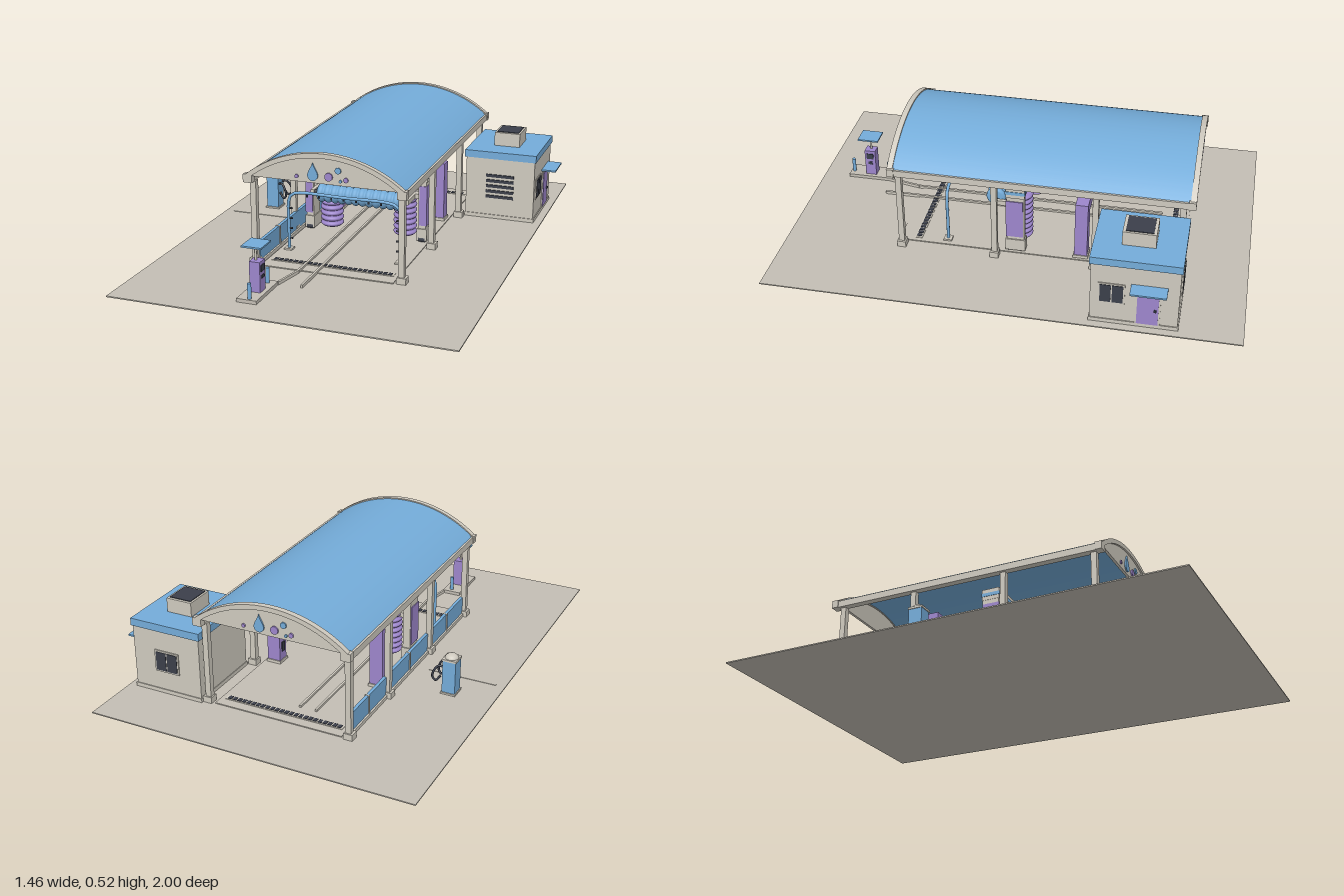
import * as THREE from 'three';
import { toCreasedNormals } from 'three/addons/utils/BufferGeometryUtils.js';

const mat = (name, color, side = THREE.FrontSide) => {
  const m = new THREE.MeshStandardMaterial({ color, side });
  m.name = name;
  return m;
};

export function createModel() {
  const root = new THREE.Group();
  root.name = 'carWash';
  const concrete = mat('concrete', 0xc3beb4), wall = mat('warmGrey', 0xcfcabf);
  const blue = mat('blue', 0x74acd9), purple = mat('purple', 0x9d86cc), dark = mat('charcoal', 0x3b3f4a);

  const add = (name, geo, m, x = 0, y = 0, z = 0, parent = root) => {
    const mesh = new THREE.Mesh(geo, m);
    mesh.name = name;
    mesh.position.set(x, y, z);
    parent.add(mesh);
    return mesh;
  };
  // Box given by its limits on each axis
  const box = (name, m, x0, x1, y0, y1, z0, z1, parent = root) =>
    add(name, new THREE.BoxGeometry(x1 - x0, y1 - y0, z1 - z0), m, (x0 + x1) / 2, (y0 + y1) / 2, (z0 + z1) / 2, parent);
  const cyl = (name, m, r, h, x, y, z, parent = root) =>
    add(name, new THREE.CylinderGeometry(r, r, h, 20), m, x, y, z, parent);
  const tube = (name, m, pts, r, parent = root) =>
    add(name, new THREE.TubeGeometry(new THREE.CatmullRomCurve3(pts.map(p => new THREE.Vector3(...p))), 40, r, 8), m, 0, 0, 0, parent);
  const extrude = (shape, depth) => toCreasedNormals(
    new THREE.ExtrudeGeometry(shape, { depth, bevelEnabled: false, curveSegments: 40 }), 0.5);

  // Ground slab and wash bay floor
  box('ground', concrete, -0.73, 0.7, 0, 0.005, -1, 1);
  box('washPad', concrete, -0.29, 0.29, 0.005, 0.009, -0.72, 0.51);
  for (const z of [0.43, -0.66]) {
    box('drainChannel', wall, -0.27, 0.27, 0.009, 0.011, z - 0.016, z + 0.016);
    for (let i = 0; i < 24; i++) box('drainSlot', dark, -0.262 + i * 0.022, -0.246 + i * 0.022, 0.011, 0.013, z - 0.011, z + 0.011);
  }
  // Wheel guide rails, one flared at the entrance
  box('guideRail', wall, -0.045, -0.035, 0.005, 0.018, -0.6, 0.67);
  box('guideRail', wall, -0.118, -0.108, 0.005, 0.018, -0.6, 0.53);
  box('flaredRail', wall, -0.133, -0.123, 0.005, 0.018, 0.53, 0.675).rotation.y = -0.2;

  // Barrel roof
  const cy = -0.013;
  const band = (rIn, rOut, a) => {
    const s = new THREE.Shape();
    s.absarc(0, cy, rOut, Math.PI / 2 - a, Math.PI / 2 + a, false);
    s.absarc(0, cy, rIn, Math.PI / 2 + a, Math.PI / 2 - a, true);
    return s;
  };
  const canopy = new THREE.Group();
  canopy.name = 'canopy';
  root.add(canopy);
  add('barrelRoof', extrude(band(0.522, 0.533, 0.695), 1.265), blue, 0, 0, -0.745, canopy);
  for (const s of [1, -1]) {
    // Gable with arch trim, drop and bubbles
    const gable = new THREE.Group();
    gable.name = s > 0 ? 'frontGable' : 'backGable';
    gable.position.z = s > 0 ? 0.53 : -0.76;
    gable.rotation.y = s > 0 ? 0 : Math.PI;
    canopy.add(gable);
    add('archTrim', extrude(band(0.518, 0.538, 0.7), 0.024), wall, 0, 0, -0.024, gable);
    const panel = new THREE.Shape();
    const half = Math.acos(0.411 / 0.52);
    panel.absarc(0, cy, 0.52, Math.PI / 2 - half, Math.PI / 2 + half, false);
    add('gablePanel', extrude(panel, 0.012), wall, 0, 0, -0.02, gable);
    const drop = new THREE.Shape();
    drop.moveTo(0, 0.045);
    drop.bezierCurveTo(0.006, 0.025, 0.022, 0.008, 0.022, -0.008);
    drop.absarc(0, -0.008, 0.022, 0, -Math.PI, true);
    drop.bezierCurveTo(-0.022, 0.008, -0.006, 0.025, 0, 0.045);
    add('waterDrop', extrude(drop, 0.006), blue, -0.045, 0.438, -0.008, gable);
    for (const [x, y, r, m] of [[0.023, 0.43, 0.017, purple], [0.063, 0.46, 0.013, blue], [0.096, 0.424, 0.01, purple],
      [-0.115, 0.42, 0.008, purple], [0.073, 0.417, 0.006, blue]])
      cyl('bubble', m, r, 0.006, x, y, -0.005, gable).rotation.x = Math.PI / 2;

    // Eave beam and posts on each side
    box('eaveBeam', wall, s * 0.33 - 0.016, s * 0.33 + 0.016, 0.37, 0.4, -0.745, 0.515, canopy);
    for (const z of [0.515, -0.745])
      box('beamEnd', wall, s * 0.33 - 0.02, s * 0.33 + 0.02, 0.37, 0.405, z - 0.015, z + 0.015, canopy);
    for (const z of [0.487, 0.077, -0.353, -0.71]) {
      box('post', wall, s * 0.32 - 0.0125, s * 0.32 + 0.0125, 0.005, 0.37, z - 0.0125, z + 0.0125, canopy);
      box('postFoot', wall, s * 0.322 - 0.02, s * 0.322 + 0.02, 0.005, 0.032, z - 0.019, z + 0.019, canopy);
    }
  }

  // Low splash wall along the far side
  box('splashWallBase', wall, -0.325, -0.295, 0.005, 0.02, -0.71, 0.48);
  box('splashWall', blue, -0.317, -0.303, 0.02, 0.1, -0.71, 0.48);
  for (const z of [0.28, -0.13, -0.53]) box('splashWallJoint', wall, -0.321, -0.299, 0.02, 0.101, z - 0.004, z + 0.004);

  // Ribbed brush turned about its own axis
  const brushGeometry = (r, length, ribs) => {
    const pts = [new THREE.Vector2(0, 0)];
    for (let i = 0; i < ribs; i++)
      for (let j = 0; j <= 6; j++)
        pts.push(new THREE.Vector2(r * (0.78 + 0.22 * Math.sin(Math.PI * j / 6)), length * (i + j / 6) / ribs));
    pts.push(new THREE.Vector2(0, length));
    return new THREE.LatheGeometry(pts.filter((p, i) => i === 0 || !p.equals(pts[i - 1])), 24);
  };

  // Brush gantry
  const gantry = new THREE.Group();
  gantry.name = 'brushGantry';
  root.add(gantry);
  box('gantryBeam', wall, -0.28, 0.285, 0.285, 0.335, -0.045, 0.035, gantry);
  box('gantryStripe', blue, -0.282, 0.287, 0.302, 0.317, -0.048, 0.038, gantry);
  for (const s of [-1, 1]) {
    box('gantryColumn', wall, s * 0.262 - 0.017, s * 0.262 + 0.017, 0.025, 0.285, -0.043, 0.033, gantry);
    box('columnCover', purple, s * 0.266 - 0.017, s * 0.266 + 0.017, 0.085, 0.265, -0.038, 0.036, gantry);
    box('gantryFoot', wall, s * 0.262 - 0.022, s * 0.262 + 0.022, 0.015, 0.07, -0.048, 0.038, gantry);
    for (const z of [-0.03, 0.025]) cyl('gantryWheel', dark, 0.015, 0.03, s * 0.262, 0.022, z, gantry).rotation.z = Math.PI / 2;
    add('sideBrush', brushGeometry(0.052, 0.225, 9), purple, s * 0.172, 0.025, -0.01, gantry);
    cyl('sideBrushAxle', dark, 0.008, 0.27, s * 0.172, 0.15, -0.01, gantry);
    box('topBrushArm', wall, s * 0.217 - 0.008, s * 0.217 + 0.008, 0.2, 0.222, -0.01, 0.115, gantry);
    box('armBracket', wall, s * 0.235 - 0.024, s * 0.235 + 0.024, 0.2, 0.222, -0.02, 0.02, gantry);
  }
  add('topBrush', brushGeometry(0.043, 0.38, 12), blue, 0.19, 0.21, 0.1, gantry).rotation.z = Math.PI / 2;
  cyl('topBrushAxle', dark, 0.01, 0.44, 0, 0.21, 0.1, gantry).rotation.z = Math.PI / 2;

  // Dryer arch
  for (const s of [-1, 1]) {
    box('dryerColumn', purple, s * 0.245 - 0.03, s * 0.245 + 0.03, 0.02, 0.28, -0.315, -0.26);
    box('dryerFoot', wall, s * 0.245 - 0.034, s * 0.245 + 0.034, 0.005, 0.022, -0.32, -0.255);
    for (let i = 0; i < 3; i++) box('dryerSlot', dark, s * 0.214 - 0.003, s * 0.214 + 0.003, 0.06 + i * 0.065, 0.105 + i * 0.065, -0.298, -0.277);
  }
  box('dryerBeam', purple, -0.215, 0.215, 0.225, 0.28, -0.315, -0.26);

  // Spray pipe arch
  tube('sprayArch', blue, [[-0.25, 0.005, 0.3], [-0.25, 0.12, 0.3], [-0.25, 0.225, 0.3], [-0.237, 0.256, 0.3], [-0.2, 0.268, 0.3],
    [0, 0.268, 0.3], [0.2, 0.268, 0.3], [0.237, 0.256, 0.3], [0.25, 0.225, 0.3], [0.25, 0.12, 0.3], [0.25, 0.005, 0.3]], 0.007);
  for (const s of [-1, 1]) {
    box('sprayArchFoot', wall, s * 0.25 - 0.018, s * 0.25 + 0.018, 0.005, 0.016, 0.282, 0.318);
    for (let i = 0; i < 4; i++) cyl('nozzle', dark, 0.004, 0.014, s * 0.24, 0.06 + i * 0.045, 0.3).rotation.z = Math.PI / 2;
  }
  for (let i = -3; i <= 3; i++) cyl('nozzle', dark, 0.004, 0.014, i * 0.055, 0.26, 0.3);

  // Machine room
  const room = new THREE.Group();
  room.name = 'machineRoom';
  root.add(room);
  box('roomWalls', wall, 0.345, 0.662, 0.005, 0.295, -0.737, -0.383, room);
  box('roomPlinth', wall, 0.342, 0.666, 0.005, 0.022, -0.741, -0.379, room);
  box('roofCap', blue, 0.338, 0.668, 0.29, 0.323, -0.743, -0.377, room);
  box('rooftopUnit', wall, 0.447, 0.565, 0.323, 0.385, -0.625, -0.49, room);
  box('rooftopGrille', dark, 0.456, 0.556, 0.385, 0.388, -0.613, -0.502, room);
  for (let i = 0; i < 5; i++) box('ventSlat', dark, 0.44, 0.568, 0.103 + i * 0.025, 0.116 + i * 0.025, -0.384, -0.378, room);
  box('doorFrame', wall, 0.66, 0.666, 0.02, 0.19, -0.665, -0.565, room);
  box('door', purple, 0.662, 0.669, 0.022, 0.184, -0.658, -0.572, room);
  box('doorHandle', dark, 0.669, 0.675, 0.09, 0.1, -0.65, -0.64, room);
  box('doorAwning', blue, 0.66, 0.727, 0.203, 0.21, -0.69, -0.545, room);
  box('sideWindowFrame', wall, 0.66, 0.666, 0.105, 0.202, -0.522, -0.415, room);
  box('backWindowFrame', wall, 0.445, 0.56, 0.105, 0.202, -0.742, -0.736, room);
  for (const i of [0, 1]) {
    box('sideWindowPane', dark, 0.662, 0.668, 0.112, 0.195, -0.515 + i * 0.049, -0.471 + i * 0.049, room);
    box('backWindowPane', dark, 0.452 + i * 0.053, 0.5 + i * 0.053, 0.112, 0.195, -0.744, -0.738, room);
  }

  // Pay station on its island
  const pay = new THREE.Group();
  pay.name = 'payStation';
  root.add(pay);
  box('island', concrete, -0.225, -0.14, 0.005, 0.02, 0.67, 0.88, pay);
  box('payMachine', purple, -0.203, -0.158, 0.02, 0.147, 0.753, 0.803, pay);
  box('payScreen', dark, -0.16, -0.155, 0.105, 0.132, 0.762, 0.794, pay);
  box('cardSlot', dark, -0.16, -0.155, 0.076, 0.09, 0.768, 0.788, pay);
  cyl('awningPost', wall, 0.005, 0.07, -0.185, 0.178, 0.778, pay);
  box('payAwning', blue, -0.225, -0.14, 0.21, 0.217, 0.73, 0.825, pay);
  for (const z of [0.695, 0.865]) cyl('bollard', blue, 0.008, 0.065, -0.175, 0.052, z, pay);

  // Vacuum stand with two hoses
  const vac = new THREE.Group();
  vac.name = 'vacuumStand';
  root.add(vac);
  box('vacuumFoot', wall, -0.57, -0.503, 0.005, 0.012, -0.236, -0.164, vac);
  box('vacuumBody', blue, -0.566, -0.508, 0.01, 0.16, -0.23, -0.17, vac);
  box('vacuumCollar', wall, -0.569, -0.505, 0.157, 0.166, -0.233, -0.167, vac);
  add('vacuumDome', new THREE.SphereGeometry(0.029, 24, 10, 0, Math.PI * 2, 0, Math.PI / 2), wall, -0.537, 0.164, -0.2, vac).scale.y = 0.7;
  for (const s of [-1, 1]) {
    const z = -0.2 + s * 0.02;
    tube('hose', dark, [[-0.51, 0.125, z], [-0.49, 0.128, z + s * 0.006], [-0.472, 0.105, z + s * 0.014],
      [-0.467, 0.075, z + s * 0.014], [-0.48, 0.06, z + s * 0.01], [-0.5, 0.085, z + s * 0.004]], 0.005, vac);
  }
  box('parkingLine', concrete, -0.69, -0.385, 0.005, 0.007, -0.073, -0.065);

  return root;
}
